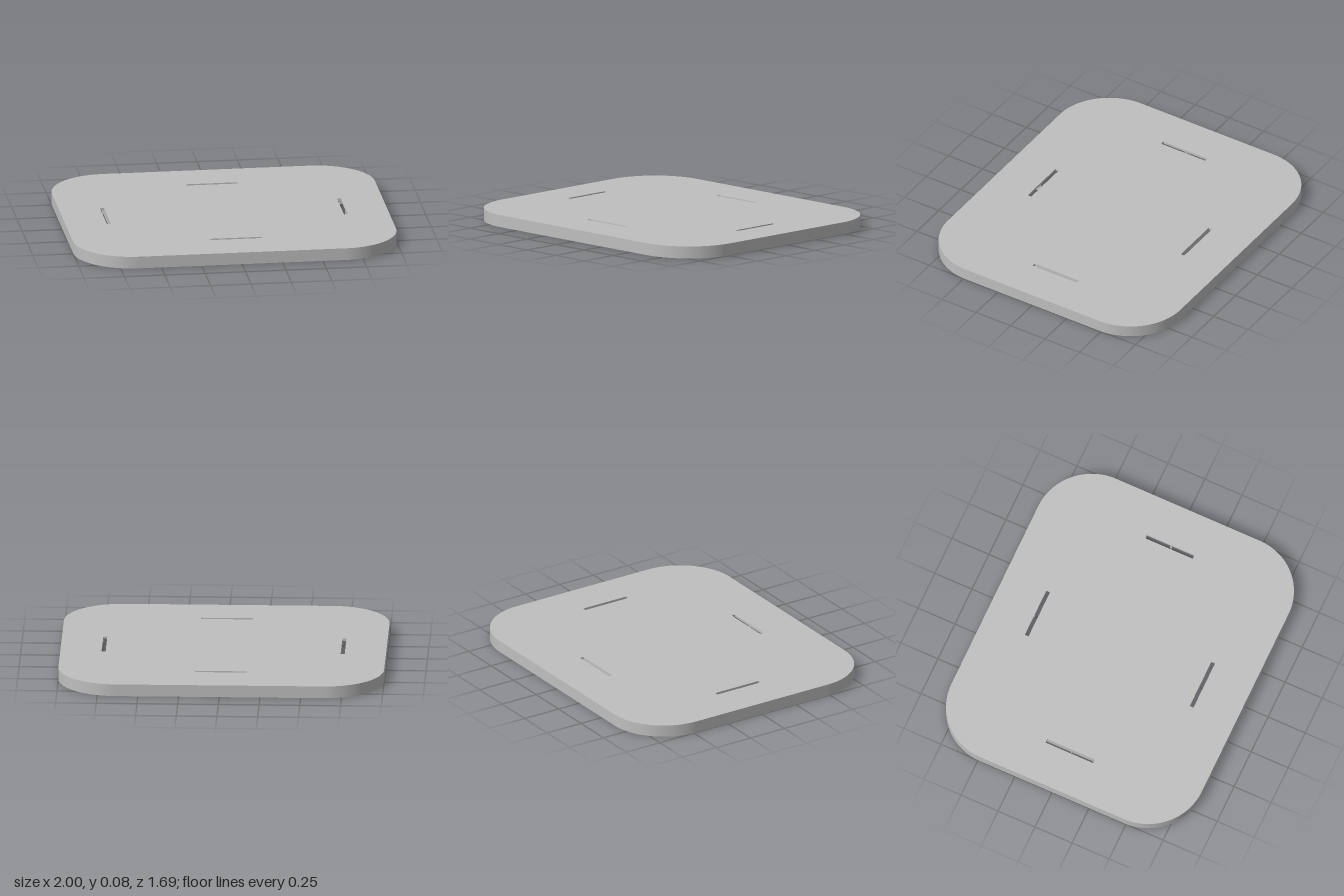
import * as THREE from 'three';

const HX = 1, HZ = 0.845, H = 0.075, R = 0.36; // half sizes, height, corner radius
const CEIL = 0.06;                             // underside of the top plate
const PX = 0.718, PZ = 0.54;                   // half sizes of the inner panel

// Rounded rectangle outline, inset by d
function outline(d, Type = THREE.Shape) {
  const s = new Type(), cx = HX - R, cz = HZ - R, r = R - d;
  s.absarc(cx, cz, r, 0, Math.PI / 2);
  s.absarc(-cx, cz, r, Math.PI / 2, Math.PI);
  s.absarc(-cx, -cz, r, Math.PI, Math.PI * 1.5);
  s.absarc(cx, -cz, r, Math.PI * 1.5, Math.PI * 2);
  s.closePath();
  return s;
}

function rect(x0, z0, x1, z1, Type = THREE.Path) {
  const p = new Type();
  p.moveTo(x0, z0).lineTo(x1, z0).lineTo(x1, z1).lineTo(x0, z1).closePath();
  return p;
}

// Extrude a plan shape upward from y0 to y1
function slab(shape, y0, y1) {
  const g = new THREE.ExtrudeGeometry(shape, { depth: y1 - y0, bevelEnabled: false, curveSegments: 20 });
  return g.rotateX(-Math.PI / 2).translate(0, y0, 0);
}

// How far a rib at offset c reaches before meeting the rim
function reach(c, halfAcross, halfAlong) {
  const over = Math.max(0, Math.abs(c) - (halfAcross - R));
  const r = R - 0.012;
  return halfAlong - R + Math.sqrt(r * r - over * over);
}

export function createModel() {
  const group = new THREE.Group();
  const grey = new THREE.MeshStandardMaterial({ color: 0xbfbfbf });
  grey.name = 'grey plastic';
  const add = (name, geo, x = 0, y = 0, z = 0) => {
    const m = new THREE.Mesh(geo, grey);
    m.name = name;
    m.position.set(x, y, z);
    group.add(m);
    return m;
  };
  const box = (name, x0, x1, y0, y1, z0, z1) =>
    add(name, new THREE.BoxGeometry(x1 - x0, y1 - y0, z1 - z0), (x0 + x1) / 2, (y0 + y1) / 2, (z0 + z1) / 2);

  // Top plate with four slots around an opening for the inner panel
  const plate = outline(0);
  plate.holes.push(rect(-PX, -PZ, PX, PZ));
  for (const s of [-1, 1]) {
    plate.holes.push(rect(s * 0.734 - 0.0125, -0.16, s * 0.734 + 0.0125, 0.16));
    plate.holes.push(rect(-0.16, s * 0.557 - 0.0125, 0.16, s * 0.557 + 0.0125));
  }
  add('topPlate', slab(plate, CEIL, H));
  add('innerPanel', slab(rect(-PX, -PZ, PX, PZ, THREE.Shape), CEIL, H));

  // Outer rim wall
  const rim = outline(0);
  rim.holes.push(outline(0.015, THREE.Path));
  add('rim', slab(rim, 0, CEIL));

  // Shallow frame wall below the edge of the inner panel
  const frame = rect(-PX, -PZ, PX, PZ, THREE.Shape);
  frame.holes.push(rect(-PX + 0.014, -PZ + 0.014, PX - 0.014, PZ - 0.014));
  add('panelFrame', slab(frame, 0.018, CEIL));

  // Ribs, interrupted where the slots pass
  const T = 0.006, Y0 = 0.004;
  for (const x of [-0.36, 0, 0.36]) {
    const end = reach(x, HX, HZ);
    box('innerRib', x - T, x + T, Y0, CEIL, -PZ, PZ);
    for (const s of [-1, 1]) {
      const a = s * 0.572, b = s * end;
      box('outerRib', x - T, x + T, Y0, CEIL, Math.min(a, b), Math.max(a, b));
    }
  }
  for (const z of [-0.272, 0, 0.272]) {
    const end = reach(z, HZ, HX);
    box('innerRib', -PX, PX, Y0, CEIL, z - T, z + T);
    for (const s of [-1, 1]) {
      const a = s * 0.75, b = s * end;
      box('outerRib', Math.min(a, b), Math.max(a, b), Y0, CEIL, z - T, z + T);
    }
  }

  // Long ribs running round the border
  for (const s of [-1, 1]) {
    const ez = reach(0.86, HX, HZ), ex = reach(0.69, HZ, HX);
    box('borderRib', s * 0.86 - T, s * 0.86 + T, Y0, CEIL, -ez, ez);
    box('borderRib', -ex, ex, Y0, CEIL, s * 0.69 - T, s * 0.69 + T);
  }

  // Hollow screw bosses
  const ring = new THREE.Shape().absarc(0, 0, 0.028, 0, Math.PI * 2);
  ring.holes.push(new THREE.Path().absarc(0, 0, 0.014, 0, Math.PI * 2));
  const boss = slab(ring, 0.012, CEIL);
  const spots = [[0.405, 0.05], [0.405, -0.05], [0.052, -0.4], [-0.052, -0.4]];
  for (const sx of [-1, 1]) for (const sz of [-1, 1]) spots.push([sx * 0.19, sz * 0.143]);
  for (const [x, z] of spots) add('screwBoss', boss, x, 0, z);

  // Small mounting pad with two pin holes
  const pad = rect(-0.07, -0.1, 0.07, 0.1, THREE.Shape);
  for (const s of [-1, 1]) pad.holes.push(new THREE.Path().absarc(0, s * 0.05, 0.01, 0, Math.PI * 2));
  add('mountingPad', slab(pad, 0.048, CEIL), -0.46, 0, -0.11);

  return group;
}
